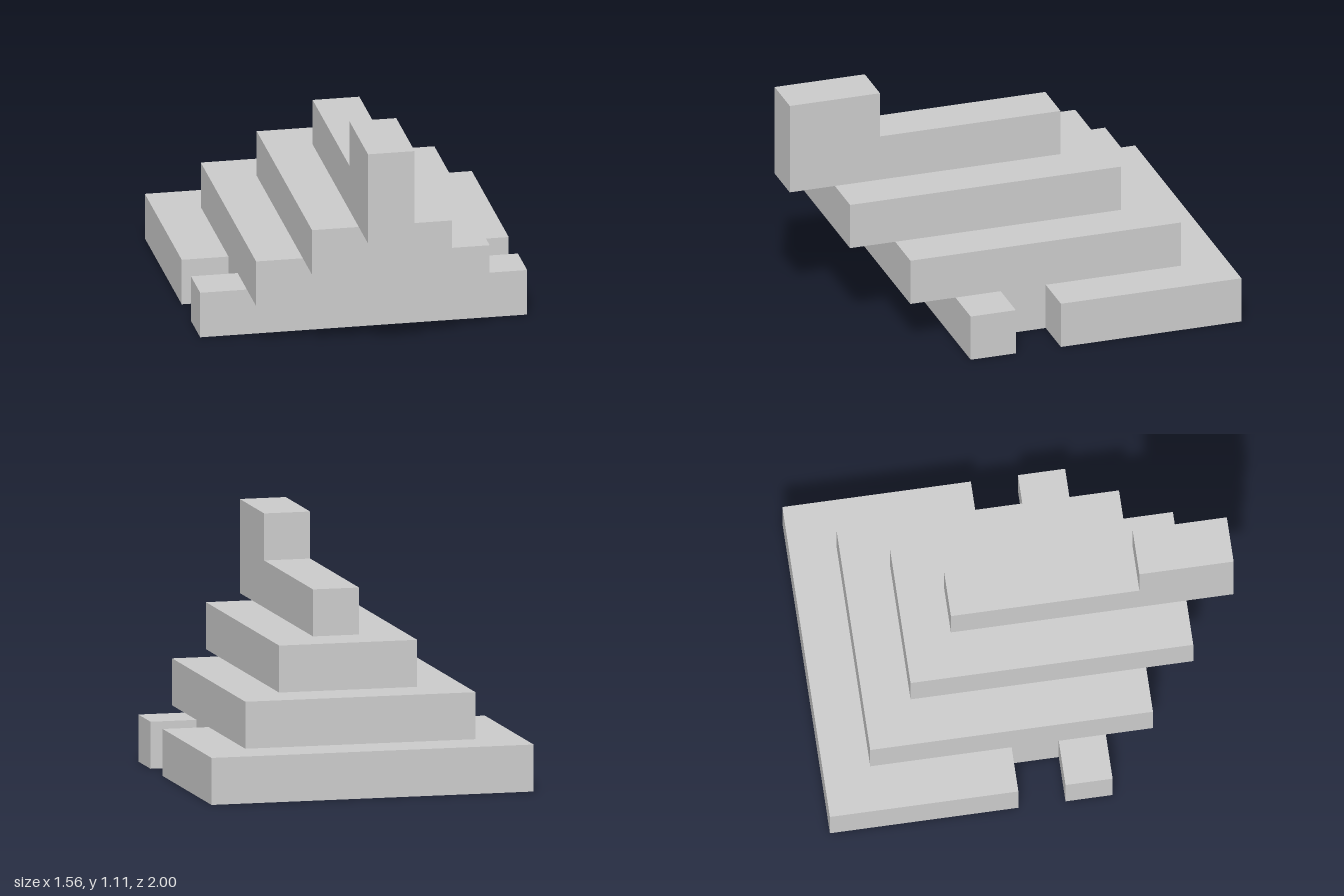
import * as THREE from 'three';

const U = 2 / 9; // one grid block
const material = new THREE.MeshStandardMaterial({ color: 0xcccccc, flatShading: true });

// Extrude an outline given in block units
function extrude(points, depth) {
  const shape = new THREE.Shape(points.map(([x, y]) => new THREE.Vector2(x * U, y * U)));
  return new THREE.ExtrudeGeometry(shape, { depth: depth * U, bevelEnabled: false });
}

export function createModel() {
  const model = new THREE.Group();
  const add = (name, geometry) => {
    const mesh = new THREE.Mesh(geometry, material);
    mesh.name = name;
    model.add(mesh);
    return mesh;
  };

  // Base slab with a square notch in each side; outline is (x, -z)
  const half = [[3.5, -1.5], [3.5, -0.5], [2.5, -0.5], [2.5, 0.5], [3.5, 0.5], [3.5, 4.5]];
  const mirrored = half.map(([x, y]) => [-x, y]).reverse();
  add('baseSlab', extrude([...half, ...mirrored], 1).rotateX(-Math.PI / 2));

  // Two narrowing steps, each shifted one block forward
  const steps = [['lowerStep', 5, -0.5], ['upperStep', 3, 0.5]];
  steps.forEach(([name, width, z], i) => {
    const step = add(name, new THREE.BoxGeometry(width * U, U, 6 * U));
    step.position.set(0, (i + 1.5) * U, z * U);
  });

  // Top beam with a raised front block; outline is (z, y)
  const side = [[-1.5, 3], [4.5, 3], [4.5, 5], [2.5, 5], [2.5, 4], [-1.5, 4]];
  add('topBeam', extrude(side, 1).rotateY(-Math.PI / 2).translate(U / 2, 0, 0));

  return model;
}
